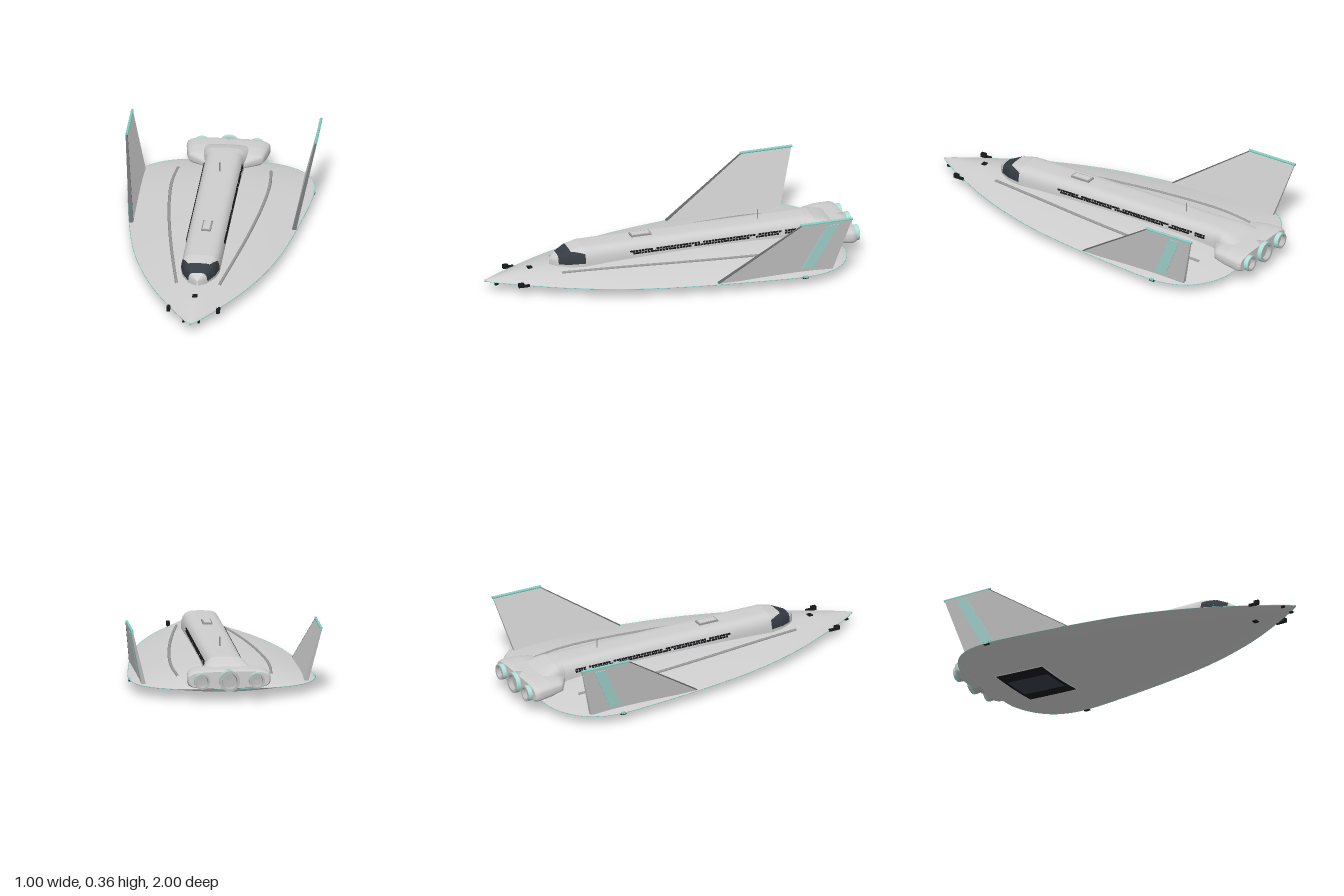
import * as THREE from 'three';
import { mergeGeometries } from 'three/addons/utils/BufferGeometryUtils.js';

const lerp = THREE.MathUtils.lerp;
const RIM = 0.055;

// Smooth interpolation through rows [z, a, b, ...] ordered from front to back
function sample(rows, z) {
  let i = 0;
  while (i < rows.length - 2 && z < rows[i + 1][0]) i++;
  const p = rows[i], q = rows[i + 1], d = q[0] - p[0];
  const t = THREE.MathUtils.clamp((z - p[0]) / d, 0, 1);
  const slope = (k, c) => {
    const a = rows[Math.max(k - 1, 0)], b = rows[Math.min(k + 1, rows.length - 1)];
    return (b[c] - a[c]) / (b[0] - a[0]);
  };
  return p.slice(1).map((v, k) => {
    const c = k + 1, t2 = t * t, t3 = t2 * t;
    return v * (2 * t3 - 3 * t2 + 1) + q[c] * (3 * t2 - 2 * t3)
      + d * (slope(i, c) * (t3 - 2 * t2 + t) + slope(i + 1, c) * (t3 - t2));
  });
}

// Straight-line version, for crisp lofts
function sampleLinear(rows, z) {
  let i = 0;
  while (i < rows.length - 2 && z < rows[i + 1][0]) i++;
  const t = (z - rows[i][0]) / (rows[i + 1][0] - rows[i][0]);
  return rows[i].slice(1).map((v, c) => lerp(v, rows[i + 1][c + 1], t));
}

// Hull stations: z, half width, height above rim, depth below rim
const HULL = [
  [1, 0.003, 0.003, 0.002], [0.95, 0.04, 0.016, 0.009], [0.8, 0.13, 0.037, 0.021],
  [0.6, 0.235, 0.052, 0.034], [0.4, 0.315, 0.062, 0.042], [0.2, 0.375, 0.069, 0.048],
  [0, 0.415, 0.073, 0.053], [-0.2, 0.445, 0.075, 0.054], [-0.4, 0.47, 0.074, 0.05],
  [-0.57, 0.485, 0.068, 0.043], [-0.7, 0.473, 0.056, 0.036], [-0.8, 0.425, 0.04, 0.029],
  [-0.87, 0.34, 0.024, 0.022], [-0.9, 0.265, 0.012, 0.016], [-0.91, 0.22, 0, 0],
];
function hullY(x, z, side) {
  const [w, top, bottom] = sample(HULL, z);
  const f = 1 - Math.pow(Math.min(Math.abs(x) / w, 1), 1.8);
  return RIM + (side > 0 ? top : -bottom) * f;
}

// Spine stations: z, half width, top height; the section is a rounded arch
const SPINE = [[0.645, 0.004, 0.132], [0.63, 0.028, 0.147], [0.607, 0.05, 0.16],
  [0.545, 0.085, 0.186], [0.47, 0.102, 0.2], [-0.74, 0.102, 0.2], [-0.78, 0.115, 0.198],
  [-0.87, 0.14, 0.172], [-0.93, 0.14, 0.13]];
const BASE = 0.1;
const pow = (v, p) => Math.sign(v) * Math.pow(Math.abs(v), p);
function spinePoint(angle, z) {
  const [w, top] = sampleLinear(SPINE, z);
  return [w * pow(Math.cos(angle), 0.5), BASE + (top - BASE) * pow(Math.max(Math.sin(angle), 0), 0.65), z];
}

// Surface from f(u, v); it faces along dU x dV
function grid(f, nu, nv) {
  const pos = [], idx = [];
  for (let j = 0; j <= nv; j++) for (let i = 0; i <= nu; i++) pos.push(...f(i / nu, j / nv));
  for (let j = 0; j < nv; j++) for (let i = 0; i < nu; i++) {
    const a = j * (nu + 1) + i, c = a + nu + 1;
    idx.push(a, a + 1, c, a + 1, c + 1, c);
  }
  const g = new THREE.BufferGeometry();
  g.setAttribute('position', new THREE.Float32BufferAttribute(pos, 3));
  g.setIndex(idx);
  g.computeVertexNormals();
  return g;
}

// Thin plate lying under the hull
const bellyPlate = (w, z0, z1, lift) => grid((u, v) => {
  const x = lerp(w, -w, u), z = lerp(z0, z1, v);
  return [x, hullY(x, z, -1) - lift, z];
}, 10, 10);

// Six-sided slab: front and back z at its bottom and top, centre x and thickness by height
function slab(y0, y1, low, high, centre, thick) {
  const g = new THREE.BoxGeometry(1, 1, 1), p = g.attributes.position;
  for (let i = 0; i < p.count; i++) {
    const t = p.getY(i) + 0.5, q = 0.5 - p.getZ(i), y = lerp(y0, y1, t);
    p.setXYZ(i, centre(y) + p.getX(i) * thick(y), y, lerp(lerp(low[0], low[1], q), lerp(high[0], high[1], q), t));
  }
  g.computeVertexNormals();
  return g;
}

const boxAt = (w, h, d, x, y, z) => new THREE.BoxGeometry(w, h, d).translate(x, y, z);

export function createModel() {
  const model = new THREE.Group();
  const mat = (name, color, side = THREE.FrontSide) =>
    Object.assign(new THREE.MeshStandardMaterial({ color, side }), { name });
  const hull = mat('hull grey', 0xcecece);
  const trim = mat('trim grey', 0x9a9a9a);
  const edge = mat('edge grey', 0x66686a);
  const metal = mat('nozzle grey', 0xb8baba, THREE.DoubleSide);
  const teal = mat('teal light', 0x7fd0c4);
  const pale = mat('pale teal', 0xabe2d9);
  const glass = mat('dark glass', 0x363c43);
  const black = mat('black fittings', 0x17191c);
  const light = mat('bay frame white', 0xeeeeee);
  const add = (name, geometry, material) => {
    const m = new THREE.Mesh(geometry, material);
    m.name = name;
    model.add(m);
    return m;
  };

  // Lens-shaped hull
  const zRow = v => 0.045 + 0.955 * Math.cos(Math.PI * v);
  for (const side of [1, -1]) {
    add(side > 0 ? 'hullTop' : 'hullBottom', grid((u, v) => {
      const z = zRow(v), x = -side * Math.cos(Math.PI * u) * sample(HULL, z)[0];
      return [x, hullY(x, z, side), z];
    }, 40, 72), hull);
  }
  const rim = [];
  for (const s of [1, -1]) for (let i = 1; i < 40; i++) {
    const z = zRow((s > 0 ? i : 40 - i) / 40);
    rim.push(new THREE.Vector3(s * (sample(HULL, z)[0] - 0.001), RIM, z));
  }
  add('rimStrip', new THREE.TubeGeometry(new THREE.CatmullRomCurve3(rim, true), 160, 0.0016, 6, true), teal);

  // Spine, cockpit glass and nose; arcs are [start, end] in half turns at the front and back
  const H = Math.PI;
  const arch = (name, front, back, z0, z1, material, nv) => add(name, grid((u, v) =>
    spinePoint(lerp(lerp(front[1], front[0], u), lerp(back[1], back[0], u), v) * H, lerp(z0, z1, v)), 28, nv), material);
  const full = [0, 1], wide = [0.03, 0.97];
  arch('cockpitNose', full, full, 0.645, 0.607, hull, 7);
  arch('windshield', wide, wide, 0.607, 0.545, glass, 4);
  arch('cockpitRoof', [0.36, 0.64], [0.2, 0.8], 0.545, 0.475, hull, 6);
  arch('sideGlass', [0.03, 0.36], [0.03, 0.2], 0.545, 0.475, glass, 6);
  arch('sideGlass', [0.64, 0.97], [0.8, 0.97], 0.545, 0.475, glass, 6);
  for (const arc of [[0, 0.03], [0.97, 1]]) arch('cockpitSill', arc, arc, 0.607, 0.475, hull, 6);
  arch('spine', full, full, 0.475, -0.74, hull, 4);
  arch('spineCollar', full, full, -0.74, -0.78, hull, 2);
  arch('spineFairing', full, full, -0.78, -0.93, hull, 5);

  // Two rows of small spine windows, with some gaps
  const windows = [];
  let seed = 7;
  const random = () => (seed = (seed * 16807) % 2147483647) / 2147483647;
  for (let z = 0.225; z > -0.68; z -= 0.016) for (const a of [0.085, 0.125]) {
    if (random() < 0.12) continue;
    const [x, y] = spinePoint(a * H, z);
    for (const s of [1, -1]) windows.push(boxAt(0.006, 0.009, 0.013, s * x, y, z));
  }
  add('spineWindows', mergeGeometries(windows), black);

  // Roof hatch and antenna
  add('hatchFrame', boxAt(0.05, 0.012, 0.11, 0, 0.202, 0.145), trim);
  add('hatchLid', boxAt(0.036, 0.004, 0.096, 0, 0.2085, 0.145), hull);
  add('antenna', new THREE.CylinderGeometry(0.003, 0.003, 0.055, 8).translate(0, 0.223, -0.5), trim);

  // Engine housing: rounded box sections z, half width, bottom, top
  const HOUSING = [[-0.74, 0.1, 0.095, 0.135], [-0.8, 0.195, 0.085, 0.157], [-0.87, 0.21, 0.072, 0.166],
    [-0.955, 0.22, 0.064, 0.163], [-0.973, 0.21, 0.07, 0.156]];
  const housingPoint = (u, z, k) => {
    const [w, y0, y1] = sampleLinear(HOUSING, z), a = -2 * H * u;
    return [k * w * pow(Math.cos(a), 0.45), (y0 + y1) / 2 + k * (y1 - y0) / 2 * pow(Math.sin(a), 0.6), z];
  };
  add('engineHousing', grid((u, v) => housingPoint(u, lerp(-0.74, -0.973, v), 1), 48, 16), hull);
  add('engineBackPlate', grid((u, v) => housingPoint(u, -0.973, 1 - v), 48, 1), hull);

  // Three nozzles with pale bands
  for (const [x, r] of [[-0.143, 0.042], [0, 0.055], [0.143, 0.042]]) {
    const pts = [[r * 0.98, 0.93], [r * 0.98, 1], [r * 0.74, 1], [r * 0.66, 0.976], [0, 0.974]]
      .map(p => new THREE.Vector2(...p));
    const aim = g => g.rotateX(-H / 2).translate(x, 0.11, 0);
    add('nozzle', aim(new THREE.LatheGeometry(pts, 32).toNonIndexed()), metal).geometry.computeVertexNormals();
    add('nozzleBand', aim(new THREE.CylinderGeometry(r, r, 0.022, 32, 1, true).translate(0, 0.987, 0)), pale);
  }

  for (const s of [1, -1]) {
    // Canted tail fin with dark leading edge, teal stripe and tip bar
    const finX = y => s * lerp(0.425, 0.494, (y - 0.06) / 0.29);
    const finT = y => lerp(0.022, 0.01, (y - 0.06) / 0.29);
    add('tailFin', slab(0.06, 0.352, [-0.142, -0.765], [-0.577, -0.85], finX, finT), hull);
    add('finLeadingEdge', slab(0.06, 0.352, [-0.138, -0.144], [-0.573, -0.579], finX, y => finT(y) + 0.001), edge);
    add('finStripe', slab(0.085, 0.335, [-0.592, -0.658], [-0.715, -0.778],
      y => finX(y) + s * finT(y) / 2, () => 0.005), pale);
    add('finTipBar', new THREE.CylinderGeometry(0.007, 0.007, 0.285, 10).rotateX(H / 2)
      .translate(s * 0.493, 0.354, -0.712), teal);

    // Curved rail on the upper hull
    const path = new THREE.CatmullRomCurve3([[0.11, 0.61], [0.165, 0.3], [0.21, 0], [0.243, -0.3],
      [0.255, -0.55], [0.243, -0.74]].map(([x, z]) => new THREE.Vector3(s * x, hullY(x, z, 1), z)));
    add('hullRail', new THREE.TubeGeometry(path, 48, 0.008, 8), trim);

    // Nose thrusters, nose probes and rim lamps
    add('thruster', mergeGeometries([boxAt(0.018, 0.022, 0.028, s * 0.13, 0.062, 0.84),
      boxAt(0.012, 0.012, 0.05, s * 0.132, 0.056, 0.82)]), black);
    add('noseProbe', boxAt(0.01, 0.01, 0.02, s * 0.04, 0.047, 0.945), black);
    add('rimLamp', boxAt(0.012, 0.01, 0.022, s * 0.483, RIM, -0.6), teal);
    add('rimLampBase', boxAt(0.012, 0.006, 0.03, s * 0.482, RIM - 0.006, -0.6), black);
  }
  add('noseLamp', new THREE.SphereGeometry(0.007, 12, 8).translate(0, RIM, 0.992), teal);

  // Nose sensors and belly bay
  for (const side of [1, -1]) add('noseSensor', boxAt(0.026, 0.012, 0.024, 0, hullY(0, 0.75, side), 0.75), black);
  add('bayFrame', bellyPlate(0.172, -0.455, -0.755, 0.002), light);
  add('bayOpening', bellyPlate(0.165, -0.462, -0.748, 0.004), black);
  add('bayDoor', bellyPlate(0.085, -0.48, -0.73, 0.006), glass);
  return model;
}
